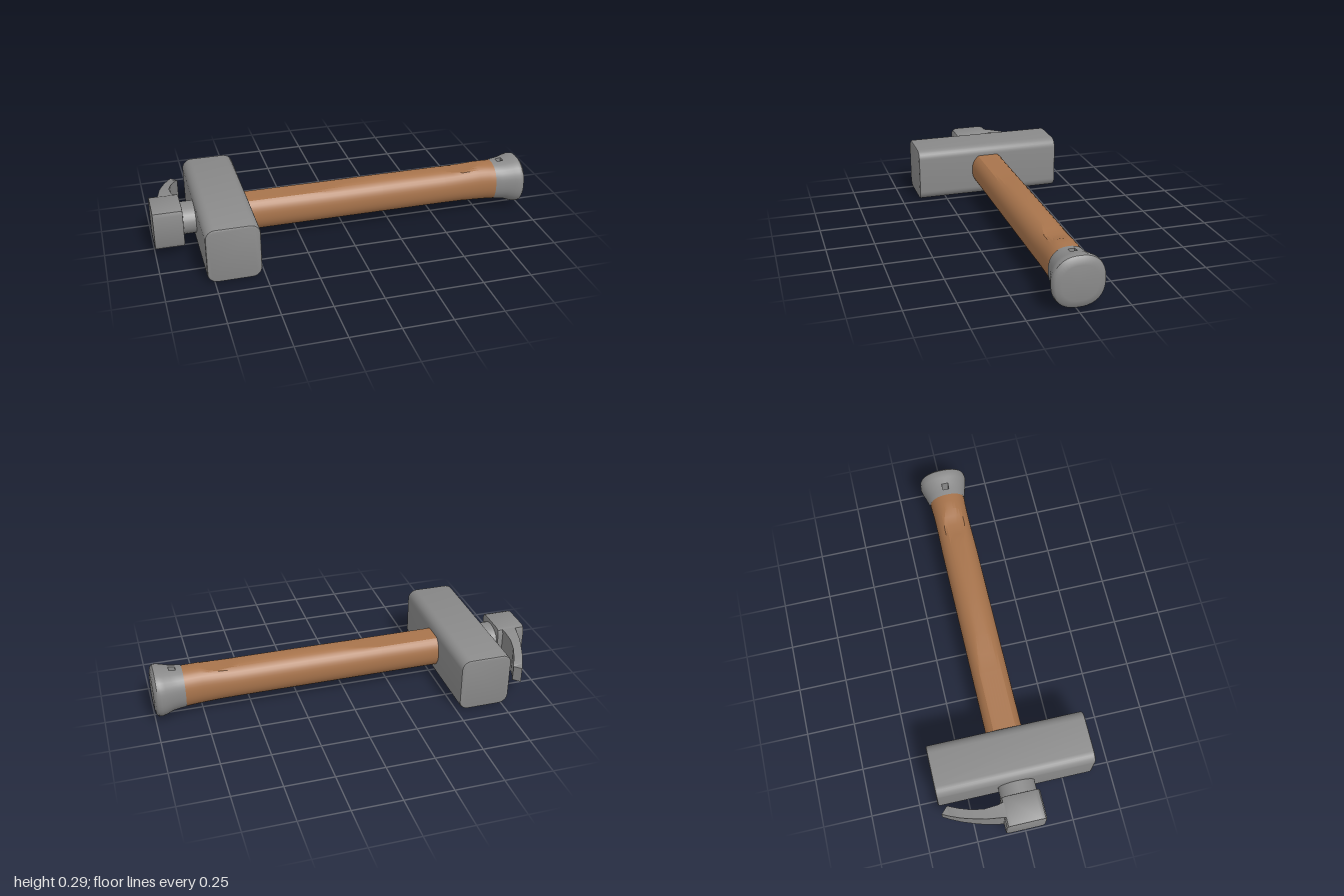
import * as THREE from 'three';
import { toCreasedNormals } from 'three/addons/utils/BufferGeometryUtils.js';

const N = 40; // points around the handle and its end cap

// Skin through rings of [x, y, z] points that turn counterclockwise about the direction of travel
function loft(rings, crease, { start = true, end = true, skip = () => false } = {}) {
  const n = rings[0].length, pos = rings.flat(2), idx = [];
  for (let i = 0; i < rings.length - 1; i++) {
    for (let j = 0; j < n; j++) {
      if (skip(i, j)) continue;
      const a = i * n + j, b = i * n + (j + 1) % n;
      idx.push(a, b, b + n, a, b + n, a + n);
    }
  }
  const close = (ring, base, flip) => {
    const c = pos.length / 3;
    for (let k = 0; k < 3; k++) pos.push(ring.reduce((s, p) => s + p[k], 0) / n);
    for (let j = 0; j < n; j++) {
      const a = base + j, b = base + (j + 1) % n;
      if (flip) idx.push(c, b, a); else idx.push(c, a, b);
    }
  };
  if (start) close(rings[0], 0, true);
  if (end) close(rings.at(-1), (rings.length - 1) * n, false);
  const g = new THREE.BufferGeometry();
  g.setAttribute('position', new THREE.Float32BufferAttribute(pos, 3));
  g.setIndex(idx);
  return toCreasedNormals(g, crease);
}

// Rounded-square ring across x, optionally planed flat at height "flat"
function ring([x, bottom, top, rz, power, flat = 9]) {
  const yc = (bottom + top) / 2, ry = (top - bottom) / 2;
  return Array.from({ length: N }, (_, j) => {
    const t = j / N * Math.PI * 2, c = Math.cos(t), s = Math.sin(t);
    const r = 1 / Math.pow(Math.abs(c) ** power + Math.abs(s) ** power, 1 / power);
    return [x, Math.min(yc + ry * r * c, flat), rz * r * s];
  });
}

// Rectangle with rounded or cut corners
function roundedRect(w, h, r) {
  const s = new THREE.Shape(), a = w / 2 - r, b = h / 2 - r, q = Math.PI / 2;
  s.absarc(a, b, r, 0, q);
  s.absarc(-a, b, r, q, 2 * q);
  s.absarc(-a, -b, r, 2 * q, 3 * q);
  s.absarc(a, -b, r, 3 * q, 4 * q);
  return s;
}

function bar(w, h, r, length, bevel, steps) {
  const g = new THREE.ExtrudeGeometry(roundedRect(w - 2 * bevel, h - 2 * bevel, r), {
    depth: length - 2 * bevel, bevelSize: bevel, bevelThickness: bevel, bevelSegments: 2, curveSegments: steps,
  });
  return toCreasedNormals(g.center(), 0.6);
}

export function createModel() {
  const group = new THREE.Group();
  const steel = new THREE.MeshStandardMaterial({ color: 0x8a8a8a });
  steel.name = 'steel grey';
  const wood = new THREE.MeshStandardMaterial({ color: 0xa8744c });
  wood.name = 'wood brown';
  const add = (name, geometry, material, x = 0, y = 0, z = 0) => {
    const m = new THREE.Mesh(geometry, material);
    m.name = name;
    m.position.set(x, y, z);
    group.add(m);
    return m;
  };

  // Main hammer head, long along z
  add('hammerHead', bar(0.27, 0.29, 0.04, 0.81, 0.01, 4), steel, -0.65, 0.145, -0.003);

  // Wooden handle with a planed top and a thumb hollow near the end
  const handle = [
    [-0.54, 0.055, 0.25, 0.094, 2.2, 0.236],
    [-0.2, 0.055, 0.25, 0.094, 2.2, 0.235],
    [-0.1, 0.055, 0.25, 0.094, 2.2, 0.239],
    [0, 0.055, 0.25, 0.094, 2.2, 0.247],
    [0.2, 0.055, 0.251, 0.094, 2.2],
    [0.55, 0.055, 0.251, 0.094, 2.2, 0.249],
    [0.6, 0.054, 0.251, 0.093, 2.2, 0.241],
    [0.66, 0.053, 0.253, 0.092, 2.2, 0.236],
    [0.71, 0.05, 0.255, 0.092, 2.2, 0.243],
    [0.75, 0.048, 0.257, 0.092, 2.2, 0.255],
    [0.8, 0.045, 0.256, 0.093, 2.2],
    [0.845, 0.042, 0.254, 0.096, 2.2],
  ];
  add('handle', loft(handle.map(ring), 0.35), wood);

  // Flared end cap with a lanyard hole straight through it
  const cap = [
    [0.84, 0.041, 0.256, 0.098, 2.3],
    [0.872, 0.04, 0.258, 0.104, 2.3],
    [0.906, 0.036, 0.262, 0.112, 2.3],
    [0.94, 0.024, 0.27, 0.122, 2.4],
    [0.965, 0.018, 0.275, 0.128, 2.4],
    [0.983, 0.02, 0.273, 0.126, 2.4],
    [0.994, 0.032, 0.261, 0.115, 2.4],
    [1, 0.06, 0.233, 0.088, 2.4],
  ].map(ring);
  const hole = (i, j) => i === 1 && [0, N - 1, N / 2, N / 2 - 1].includes(j);
  add('endCap', loft(cap, 0.7, { start: false, skip: hole }), steel);
  const mouth = (left, mid, right) =>
    [cap[1][left], cap[2][left], cap[2][mid], cap[2][right], cap[1][right], cap[1][mid]];
  const tunnel = [mouth(N / 2 + 1, N / 2, N / 2 - 1), mouth(N - 1, 0, 1)];
  add('lanyardHole', loft(tunnel, 0.5, { start: false, end: false }), steel);

  // Round neck and the block behind the head
  const neck = new THREE.CylinderGeometry(0.08, 0.08, 0.12, 28).rotateZ(Math.PI / 2).scale(1, 1, 1.18);
  add('neck', neck, steel, -0.82, 0.157, -0.003);
  const block = bar(0.203, 0.212, 0.024, 0.15, 0.004, 1).rotateY(Math.PI / 2);
  add('rearBlock', block, steel, -0.925, 0.148, -0.002);

  // Curved tapering claw: z, outer x, inner x, half height
  const claw = [
    [-0.09, -0.952, -0.875, 0.1],
    [-0.125, -0.946, -0.882, 0.096],
    [-0.19, -0.935, -0.884, 0.084],
    [-0.25, -0.918, -0.872, 0.071],
    [-0.31, -0.898, -0.849, 0.058],
    [-0.36, -0.876, -0.824, 0.047],
  ].map(([z, xo, xi, h]) => [[xo, 0.148 + h, z], [xi, 0.148 + h, z], [xi, 0.148 - h, z], [xo, 0.148 - h, z]]);
  claw.push([[-0.855, 0.188, -0.4], [-0.822, 0.188, -0.368], [-0.822, 0.108, -0.368], [-0.855, 0.108, -0.4]]);
  add('claw', loft(claw, 0.6), steel);

  return group;
}
